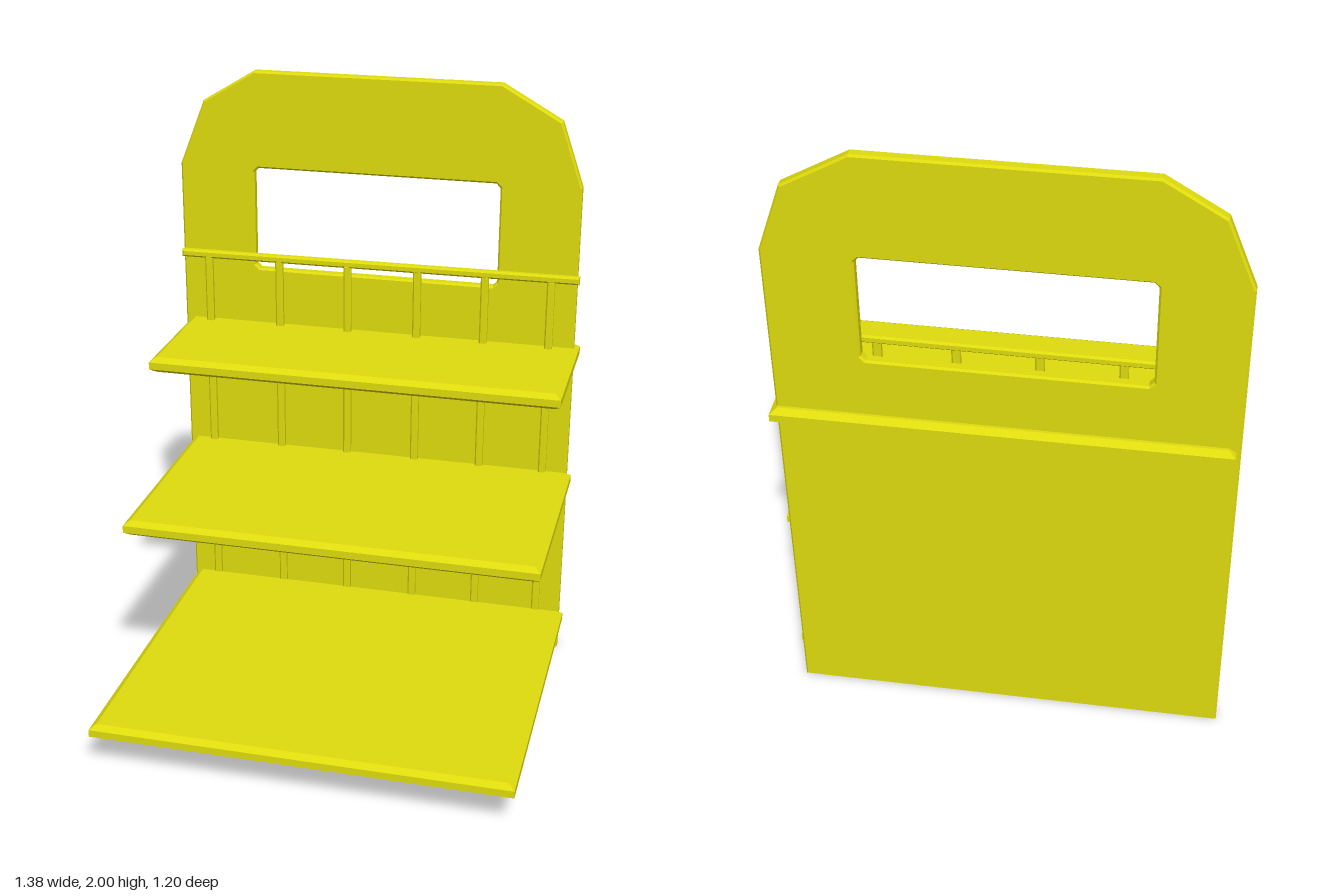
import * as THREE from 'three';

const material = new THREE.MeshStandardMaterial({ color: 0xdfdb0e, flatShading: true });

const polygon = (points, Type = THREE.Shape) => new Type(points.map(([x, y]) => new THREE.Vector2(x, y)));

// Extrude along z from 0 to depth with a single chamfer kept inside the outline
function chamferedExtrude(shape, depth, size, thickness) {
  return new THREE.ExtrudeGeometry(shape, {
    depth: depth - 2 * thickness,
    bevelEnabled: true, bevelSegments: 1,
    bevelSize: size, bevelOffset: -size, bevelThickness: thickness,
  }).translate(0, 0, thickness);
}

function addMesh(parent, name, geometry) {
  const mesh = new THREE.Mesh(geometry, material);
  mesh.name = name;
  parent.add(mesh);
  return mesh;
}

// Rectangle outline
const rect = (x0, x1, y0, y1) => polygon([[x0, y0], [x1, y0], [x1, y1], [x0, y1]]);

export function createModel() {
  const model = new THREE.Group();
  model.name = 'displayStand';

  // The whole stand is turned very slightly
  const stand = new THREE.Group();
  stand.name = 'stand';
  stand.rotation.y = 0.019;
  model.add(stand);

  // Back panel with cut upper corners and a handle opening
  const outline = polygon([
    [-0.68, 0], [0.665, 0], [0.665, 1.68], [0.592, 1.89], [0.397, 2],
    [-0.42, 2], [-0.595, 1.895], [-0.68, 1.68],
  ]);
  const [l, r, b, t, c] = [-0.425, 0.402, 1.33, 1.678, 0.014];
  outline.holes.push(polygon([
    [l + c, b], [r - c, b], [r, b + c], [r, t - c],
    [r - c, t], [l + c, t], [l, t - c], [l, b + c],
  ], THREE.Path));
  addMesh(stand, 'backPanel', chamferedExtrude(outline, 0.035, 0.006, 0.006)).position.z = -0.56;

  // Three shelves, deeper toward the bottom: [bottom y, back z, front z]
  const shelves = [
    ['lowerShelf', 0.106, -0.522, 0.582],
    ['middleShelf', 0.638, -0.532, 0.206],
    ['upperShelf', 1.086, -0.589, -0.097],
  ];
  for (const [name, y, back, front] of shelves) {
    const geometry = chamferedExtrude(rect(-0.666, 0.68, -front, -back), 0.052, 0.02, 0.014);
    geometry.rotateX(-Math.PI / 2);
    addMesh(stand, name, geometry).position.y = y;
  }

  // Vertical slats in front of the panel
  for (const x of [-0.585, -0.337, -0.1, 0.138, 0.365, 0.583]) {
    const slat = chamferedExtrude(rect(-0.013, 0.013, 0.025, 1.372), 0.022, 0.005, 0.005);
    addMesh(stand, 'slat', slat).position.set(x, 0, -0.519);
  }

  // Slightly tilted rail across the slat tops
  const rail = addMesh(stand, 'topRail', chamferedExtrude(rect(-0.677, 0.677, -0.013, 0.013), 0.026, 0.006, 0.006));
  rail.position.set(-0.002, 1.376, -0.523);
  rail.rotation.z = 0.004;

  return model;
}
